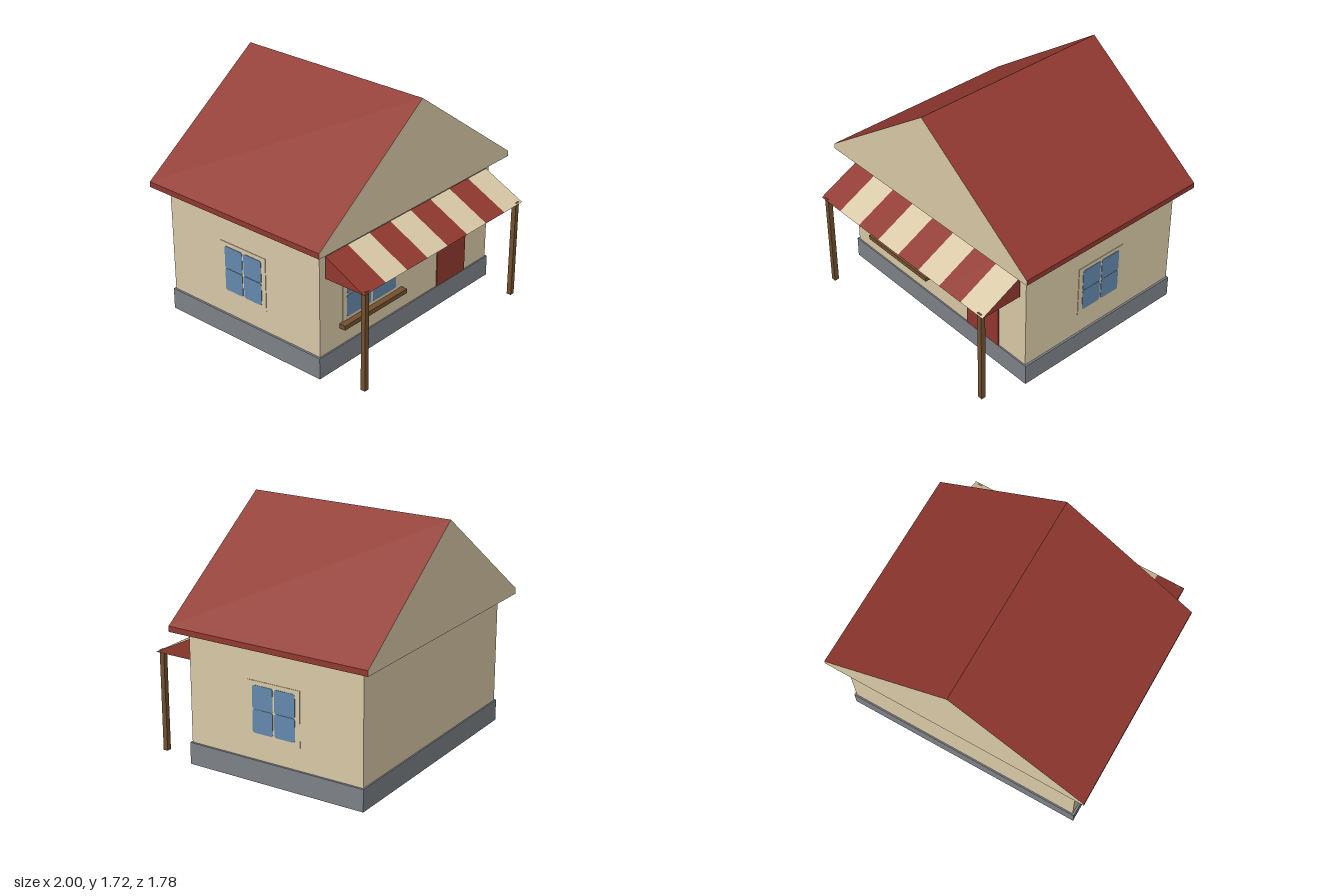
import * as THREE from 'three';

const mat = (name, color) => {
  const m = new THREE.MeshStandardMaterial({ color });
  m.name = name;
  return m;
};

export function createModel() {
  const wall = mat('cream', 0xd8c8a6);
  const red = mat('red', 0x90382f);
  const grey = mat('stone grey', 0x7d8187);
  const brown = mat('wood brown', 0x72502f);
  const blue = mat('glass blue', 0x6488ad);

  const model = new THREE.Group();
  model.name = 'house';

  const add = (parent, name, geometry, material) => {
    const mesh = new THREE.Mesh(geometry, material);
    mesh.name = name;
    parent.add(mesh);
    return mesh;
  };
  // Box given by its limits on each axis
  const box = (parent, name, material, [x0, x1], [y0, y1], [z0, z1]) => {
    const mesh = add(parent, name, new THREE.BoxGeometry(x1 - x0, y1 - y0, z1 - z0), material);
    mesh.position.set((x0 + x1) / 2, (y0 + y1) / 2, (z0 + z1) / 2);
    return mesh;
  };
  const polygon = (pts) => new THREE.Shape(pts.map(([x, y]) => new THREE.Vector2(x, y)));
  const extrude = (shape, depth) =>
    new THREE.ExtrudeGeometry(shape, { depth, bevelEnabled: false, curveSegments: 4 });

  // Walls and stone base
  box(model, 'walls', wall, [-0.9, 0.9], [0, 0.97], [-0.8, 0.56]);
  box(model, 'base', grey, [-0.915, 0.915], [0.002, 0.16], [-0.81, 0.57]);

  // Roof: cream gable ends, red slopes, eaves and underside
  const gable = polygon([[-1, 0.96], [1, 0.96], [1, 1], [0, 1.72], [-1, 1]]);
  add(model, 'roof', extrude(gable, 1.54), [wall, red]).position.z = -0.89;

  // Striped awning: wedges side by side, with red outer ends
  const awning = new THREE.Group();
  awning.name = 'awning';
  model.add(awning);
  const wedge = polygon([[-0.57, 0.73], [-0.57, 0.89], [-0.89, 0.73]]);
  const stripeWidth = 1.705 / 8;
  for (let i = 0; i < 8; i++) {
    const geometry = extrude(wedge, stripeWidth).rotateY(Math.PI / 2);
    add(awning, 'awningStripe', geometry, [red, i % 2 ? wall : red])
      .position.x = -0.8525 + i * stripeWidth;
  }

  // Awning posts
  for (const x of [-0.81, 0.81]) {
    box(model, 'awningPost', brown, [x - 0.018, x + 0.018], [0, 0.74], [0.845, 0.88]);
  }

  // Door and knob
  box(model, 'door', red, [0.32, 0.64], [0.16, 0.75], [0.555, 0.568]);
  const knob = add(model, 'doorKnob', new THREE.SphereGeometry(0.016, 12, 8), wall);
  knob.scale.x = 0.75;
  knob.position.set(0.58, 0.47, 0.572);

  // Rounded glass pane, centred
  const pane = (w, h, r = 0.018) => {
    const x = w / 2, y = h / 2, s = new THREE.Shape();
    s.moveTo(-x + r, -y);
    s.lineTo(x - r, -y).quadraticCurveTo(x, -y, x, -y + r);
    s.lineTo(x, y - r).quadraticCurveTo(x, y, x - r, y);
    s.lineTo(-x + r, y).quadraticCurveTo(-x, y, -x, y - r);
    s.lineTo(-x, -y + r).quadraticCurveTo(-x, -y, -x + r, -y);
    return extrude(s, 0.004);
  };
  // Four-pane window facing +z on a thin frame
  const makeWindow = (name, w, h, gapX, gapY) => {
    const group = new THREE.Group();
    group.name = name;
    box(group, 'windowFrame', wall, [-w / 2 - 0.037, w / 2 + 0.037],
      [-h / 2 - 0.03, h / 2 + 0.03], [-0.004, 0.004]);
    const pw = (w - gapX) / 2, ph = (h - gapY) / 2;
    for (const sx of [-1, 1]) for (const sy of [-1, 1]) {
      add(group, 'windowPane', pane(pw, ph), blue)
        .position.set(sx * (pw + gapX) / 2, sy * (ph + gapY) / 2, 0.003);
    }
    model.add(group);
    return group;
  };

  // Front window with its sill
  makeWindow('frontWindow', 0.505, 0.335, 0.022, 0.01).position.set(-0.388, 0.518, 0.56);
  box(model, 'windowSill', brown, [-0.71, -0.07], [0.295, 0.328], [0.555, 0.61]);

  // Side windows
  for (const side of [-1, 1]) {
    const win = makeWindow('sideWindow', 0.335, 0.335, 0.012, 0.002);
    win.position.set(side * 0.9, 0.518, -0.118);
    win.rotation.y = side * Math.PI / 2;
  }

  return model;
}
